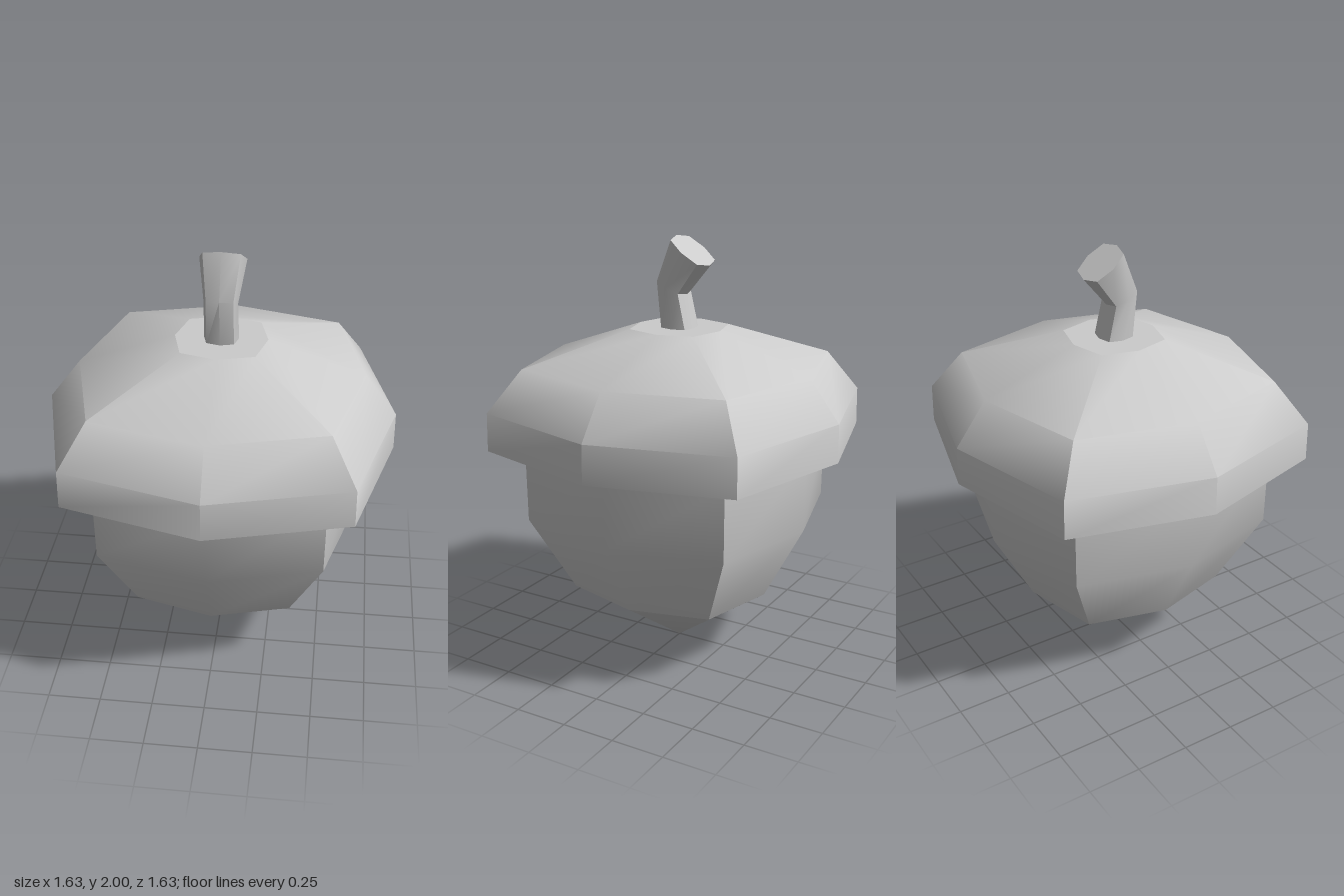
import * as THREE from 'three';
import { toCreasedNormals } from 'three/addons/utils/BufferGeometryUtils.js';

const DIAGONAL = 0.79; // corner position as a share of the axis radius
const CREASE = THREE.MathUtils.degToRad(40);

// Eight points of a squarish octagon; tilt leans the ring towards -z.
function ringPoints({ r, y, z = 0, tilt = 0 }) {
  const points = [];
  for (let i = 0; i < 8; i++) {
    const a = (i * Math.PI) / 4;
    const k = i % 2 ? r * DIAGONAL * Math.SQRT2 : r;
    const depth = Math.cos(a) * k;
    points.push([Math.sin(a) * k, y + depth * Math.sin(tilt), z + depth * Math.cos(tilt)]);
  }
  return points;
}

// Skin over rings listed from bottom to top; a ring of radius 0 closes the end.
function loft(name, rings, material, crease = CREASE) {
  const loops = rings.map(ringPoints);
  const pos = [];
  for (let k = 0; k < rings.length - 1; k++) {
    const low = loops[k], high = loops[k + 1];
    for (let i = 0; i < 8; i++) {
      const j = (i + 1) % 8;
      if (rings[k].r > 0) pos.push(...low[i], ...low[j], ...high[j]);
      if (rings[k + 1].r > 0) pos.push(...low[i], ...high[j], ...high[i]);
    }
  }
  const geometry = new THREE.BufferGeometry();
  geometry.setAttribute('position', new THREE.Float32BufferAttribute(pos, 3));
  const mesh = new THREE.Mesh(toCreasedNormals(geometry, crease), material);
  mesh.name = name;
  return mesh;
}

export function createModel() {
  const group = new THREE.Group();
  group.name = 'acorn';
  const grey = new THREE.MeshStandardMaterial({ color: 0xcccccc });

  // Nut: pointed tip and faceted wall
  const shoulder = { r: 0.467, y: 0.325 };
  group.add(loft('nutTip', [{ r: 0, y: 0 }, shoulder], grey, Math.PI));
  group.add(loft('nutBody', [shoulder, { r: 0.66, y: 0.69 }, { r: 0.663, y: 1.03 }], grey));

  // Cap: flat underside, bevelled lip, domed shell and flat crown
  const crown = { r: 0.213, y: 1.58 };
  group.add(loft('capShell', [
    { r: 0.6, y: 1.02 },
    { r: 0.74, y: 1.02 },
    { r: 0.816, y: 1.045 },
    { r: 0.813, y: 1.225 },
    { r: 0.665, y: 1.42 },
    crown,
  ], grey));
  group.add(loft('capCrown', [crown, { r: 0, y: 1.58 }], grey));

  // Stem: bends backwards and widens to a slanted cut end
  const end = { r: 0.107, y: 1.938, z: -0.07, tilt: 0.634 };
  group.add(loft('stem', [
    { r: 0.08, y: 1.57, z: -0.002 },
    { r: 0.077, y: 1.768, z: 0.03, tilt: 0.435 },
    end,
  ], grey));
  group.add(loft('stemEnd', [end, { ...end, r: 0 }], grey));

  return group;
}
